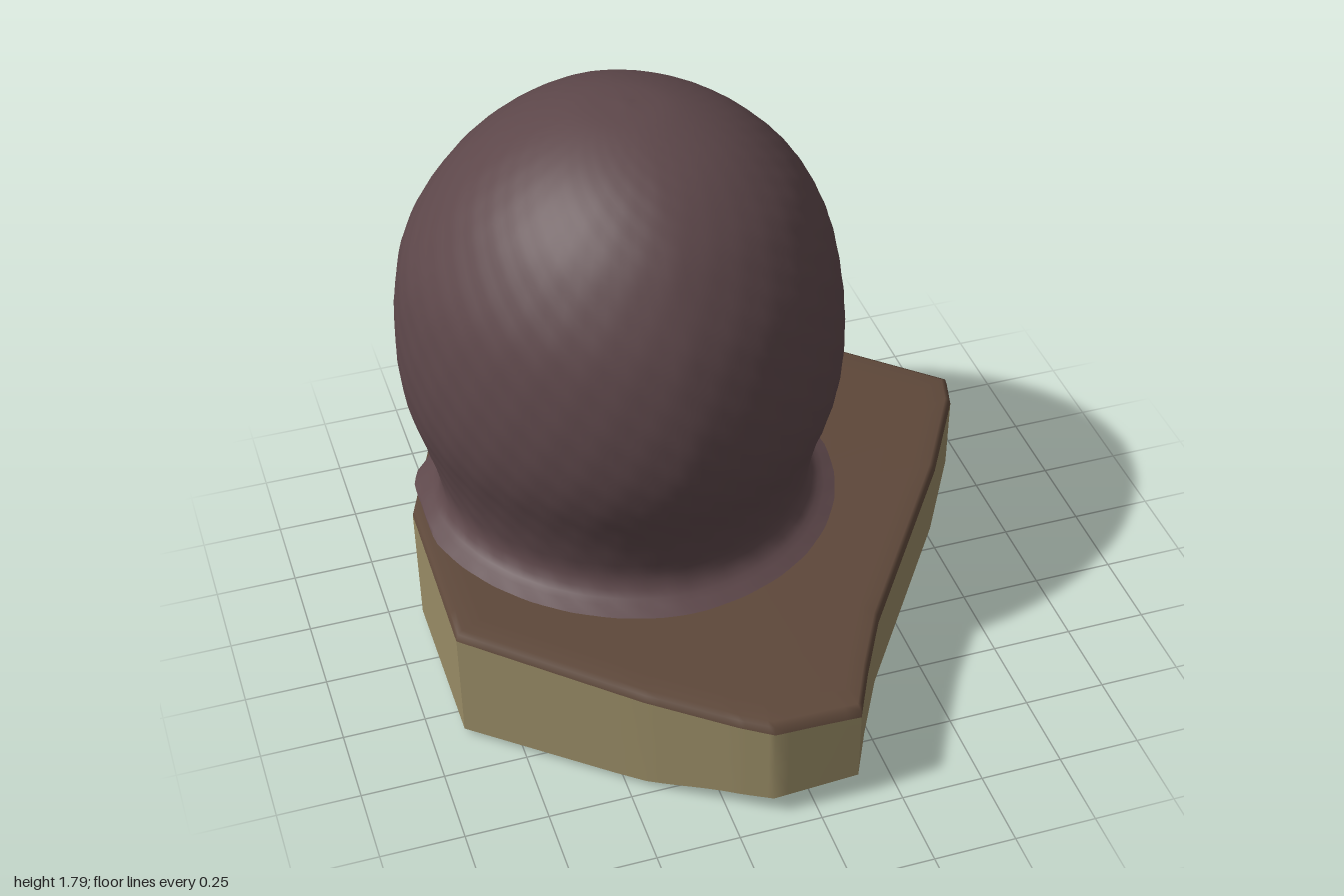
import * as THREE from 'three';
import { mergeVertices, toCreasedNormals } from 'three/addons/utils/BufferGeometryUtils.js';

const { smoothstep } = THREE.MathUtils;

// Skin a stack of equal-length point rows, ordered top to bottom
function loft(rows) {
  const cols = rows[0].length, index = [];
  for (let r = 0; r < rows.length - 1; r++) {
    for (let i = 0; i < cols - 1; i++) {
      const a = r * cols + i, b = a + cols;
      index.push(a, a + 1, b, a + 1, b + 1, b);
    }
  }
  let geo = new THREE.BufferGeometry().setFromPoints(rows.flat());
  geo.setIndex(index);
  geo = mergeVertices(geo, 1e-4);
  geo.computeVertexNormals();
  return geo;
}

function part(name, geometry, color) {
  const mesh = new THREE.Mesh(geometry, new THREE.MeshStandardMaterial({ color }));
  mesh.name = name;
  return mesh;
}

// Slab plan (x, z), clockwise seen from above
const PLAN = [
  [0.915, -0.355], [0.89, -0.26], [0.72, 0.03], [0.31, 0.61], [0.205, 0.8], [0.13, 0.95],
  [-0.13, 0.95], [-0.22, 0.895], [-0.45, 0.73], [-0.905, 0.35], [-0.905, -0.2],
  [-0.78, -0.5], [-0.41, -0.85], [-0.29, -0.95], [0.13, -0.95], [0.2, -0.91],
];
const STEPS = 6;          // subdivisions per plan edge
const BARE_EDGES = 10;    // first plan edges show the pale cut side

function outline() {
  const pts = [];
  PLAN.forEach(([x, z], i) => {
    const [nx, nz] = PLAN[(i + 1) % PLAN.length];
    for (let s = 0; s < STEPS; s++) {
      const t = s / STEPS;
      pts.push([x + (nx - x) * t, z + (nz - z) * t]);
    }
  });
  pts.push(pts[0]);
  return pts;
}

// Sloping top, and a bottom that steps down to the left with a grooved patch
const topY = (x, z) => 0.51 - (x > 0 ? 0.04 : 0.02) * x - 0.065 * z;
function bottomY(x, z, k) {
  const patch = Math.exp(-((x + 0.27) ** 2 + (z + 0.25) ** 2) / 0.16) * (1 - k ** 4);
  const rise = 0.04 * smoothstep(x, -0.5, -0.2) + 0.06 * Math.max(0, x + 0.2);
  return 0.102 + rise + 0.012 * patch * Math.sin((x - z) * 50);
}

function slab() {
  const group = new THREE.Group();
  group.name = 'slab';
  const plan = outline(), cx = -0.03, cz = 0;
  const ring = (k, height) => plan.map(([px, pz]) => {
    const x = cx + (px - cx) * k, z = cz + (pz - cz) * k;
    return new THREE.Vector3(x, height(x, z, k), z);
  });

  // Top face with a softened rim
  const topRows = [0, 0.25, 0.5, 0.75, 0.9, 0.975].map((k) => ring(k, topY));
  topRows.push(ring(0.992, (x, z) => topY(x, z) - 0.008), ring(1, (x, z) => topY(x, z) - 0.03));
  group.add(part('slabTop', loft(topRows), 0x5e483a));

  // Side walls, pale where cut and dark behind
  const upper = topRows[topRows.length - 1];
  const lower = ring(0.995, (x, z, k) => bottomY(x, z, k) + 0.015);
  const middle = upper.map((p, i) => p.clone().lerp(lower[i], 0.5));
  const split = BARE_EDGES * STEPS;
  const walls = (a, b) => toCreasedNormals(loft([upper, middle, lower].map((r) => r.slice(a, b))), 0.6);
  group.add(part('paleSides', walls(0, split + 1), 0x988b65));
  group.add(part('darkSides', walls(split), 0x5f4c3a));

  // Underside
  const under = [lower, ring(0.975, bottomY)];
  for (let i = 31; i >= 0; i--) under.push(ring((i / 32) * 0.96, bottomY));
  group.add(part('underside', loft(under), 0x786b52));
  return group;
}

function ball() {
  // Profile: half-width in x, height, half-width in z
  const profile = new THREE.CatmullRomCurve3([
    [0, 1.88, 0], [0.15, 1.862, 0.15], [0.305, 1.8, 0.315], [0.425, 1.715, 0.435],
    [0.525, 1.605, 0.535], [0.622, 1.42, 0.638], [0.658, 1.23, 0.682], [0.663, 1.05, 0.685],
    [0.648, 0.92, 0.66], [0.612, 0.79, 0.61], [0.582, 0.68, 0.555], [0.57, 0.6, 0.525],
    [0.586, 0.56, 0.54], [0.62, 0.54, 0.575], [0.655, 0.524, 0.61],
  ].map((p) => new THREE.Vector3(...p)));
  const points = profile.getSpacedPoints(72), cols = 120;
  const cx = -0.24, cz = -0.17;
  const rows = points.map((p, r) => {
    const foot = 1 - smoothstep(p.y, 0.53, 0.8);
    const crown = smoothstep(p.y, 1.3, 1.85);
    return Array.from({ length: cols + 1 }, (_, i) => {
      const a = ((i % cols) / cols) * Math.PI * 2;
      // Slightly flattened across one diagonal, with fine knobbly skin
      const flat = 1 - 0.04 * Math.max(0, -Math.sin(2 * a));
      const k = flat * (1 + 0.003 * Math.sin(a * 30 + r * 0.5) * Math.sin(r * 1.1));
      let x = Math.max(cx + 0.025 * crown + p.x * k * Math.cos(a), -0.905 + 0.03 * foot);
      let z = cz + 0.015 * crown + 0.025 * foot + p.z * k * Math.sin(a);
      // The foot stays inside the slab's cut corner and follows its slope
      const over = Math.max(0, -(x + z) - 1.21) * foot;
      x += over / 2;
      z += over / 2;
      return new THREE.Vector3(x, p.y + foot * (topY(x, z) - topY(cx, cz)), z);
    });
  });
  return part('ball', loft(rows), 0x5d474a);
}

export function createModel() {
  const model = new THREE.Group();
  model.name = 'ballOnSlab';
  model.add(slab(), ball());
  return model;
}
